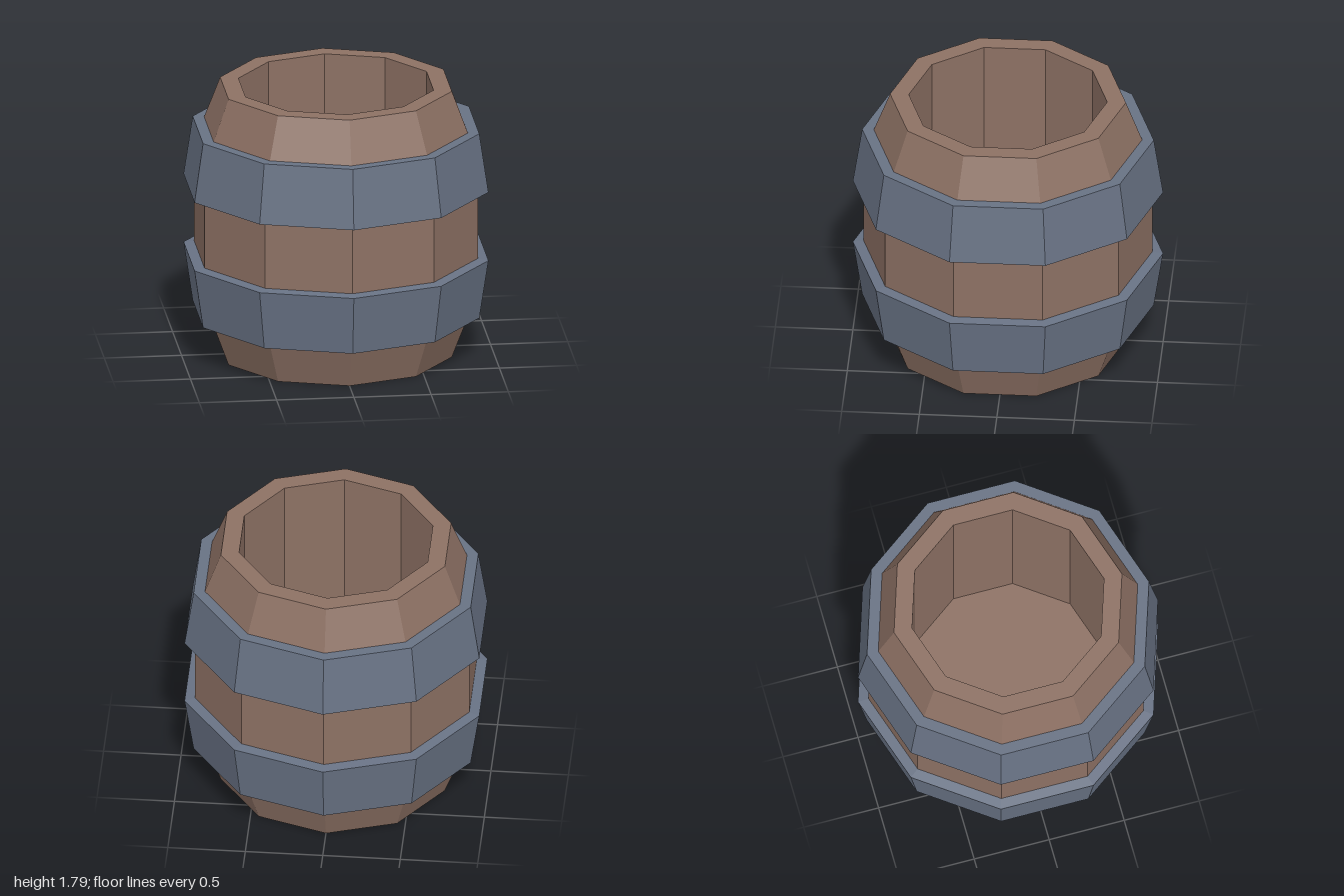
import * as THREE from 'three';

const SIDES = 10;

function material(color) {
  return new THREE.MeshStandardMaterial({ color, flatShading: true, side: THREE.DoubleSide });
}

// Ten-sided ring or shell turned from a profile of [radius, height] points
function turned(name, profile, mat) {
  const points = profile.map(([r, y]) => new THREE.Vector2(r, y));
  const mesh = new THREE.Mesh(new THREE.LatheGeometry(points, SIDES), mat);
  mesh.name = name;
  return mesh;
}

export function createModel() {
  const wood = material(0x8d7164);
  const iron = material(0x687284);
  const H = 1.795;
  const barrel = new THREE.Group();
  barrel.name = 'barrel';

  // Flared foot, open underneath
  barrel.add(turned('lowerStaves', [[0.76, 0], [0.865, 0.275]], wood));

  // Straight middle between the hoops
  barrel.add(turned('middleStaves', [[0.93, 0.677], [0.93, H - 0.677]], wood));

  // Tapered top, flat rim, inner wall and raised floor
  barrel.add(turned('upperStaves', [[0.865, H - 0.275], [0.76, H]], wood));
  barrel.add(turned('rim', [[0.76, H], [0.64, H]], wood));
  barrel.add(turned('innerWall', [[0.64, H], [0.64, 0.41]], wood));
  barrel.add(turned('floor', [[0.64, 0.41], [0, 0.41]], wood));

  // Hoops: ledge, sloping face, ledge; the upper one mirrors the lower
  const hoop = [[0.865, 0.275], [0.94, 0.275], [1, 0.667], [0.93, 0.677]];
  barrel.add(turned('lowerHoop', hoop, iron));
  barrel.add(turned('upperHoop', hoop.map(([r, y]) => [r, H - y]).reverse(), iron));

  return barrel;
}
